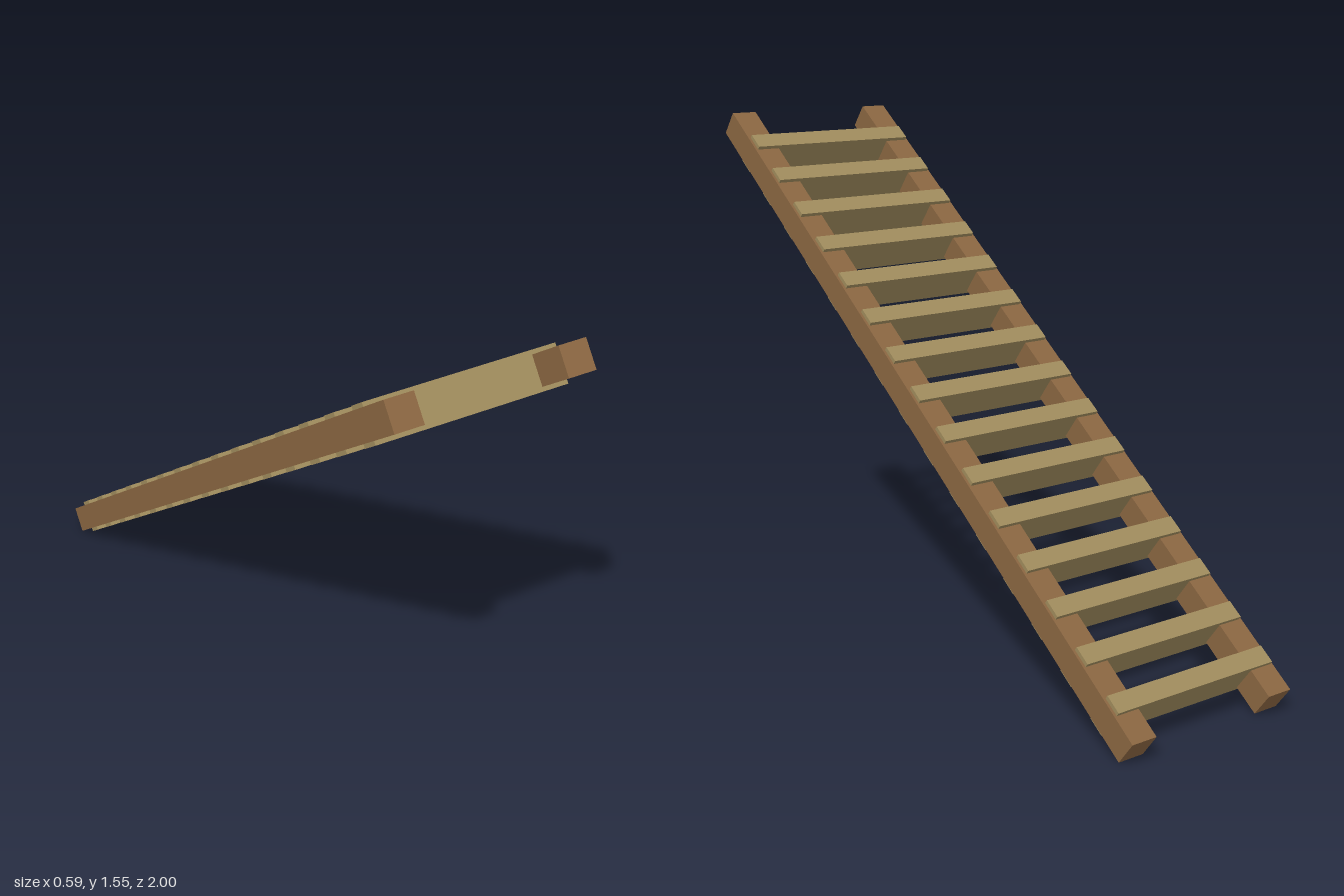
import * as THREE from 'three';

export function createModel() {
  const model = new THREE.Group();
  model.name = 'ladder';

  const railWood = new THREE.MeshStandardMaterial({ color: 0x8a6641 });
  railWood.name = 'railWood';
  const rungWood = new THREE.MeshStandardMaterial({ color: 0x9f8b5c });
  rungWood.name = 'rungWood';

  const LENGTH = 2.449, RAIL = 0.084, SLOPE = 0.6505;

  // Leaning frame: local z runs up the slope
  const frame = new THREE.Group();
  frame.name = 'leaningFrame';
  frame.rotation.x = -SLOPE;
  frame.position.y = 0.775;
  model.add(frame);

  // Side rails
  const railGeometry = new THREE.BoxGeometry(RAIL, RAIL, LENGTH);
  for (const side of [-1, 1]) {
    const rail = new THREE.Mesh(railGeometry, railWood);
    rail.name = side > 0 ? 'leftRail' : 'rightRail';
    rail.position.x = side * 0.251;
    frame.add(rail);
  }

  // Rungs set through the rails, standing slightly proud above and below
  const COUNT = 15, PITCH = 0.156;
  const rungGeometry = new THREE.BoxGeometry(0.57, 0.108, 0.056);
  for (let i = 0; i < COUNT; i++) {
    const rung = new THREE.Mesh(rungGeometry, rungWood);
    rung.name = `rung${i + 1}`;
    rung.position.z = (i - (COUNT - 1) / 2) * PITCH - 0.016;
    frame.add(rung);
  }

  return model;
}
